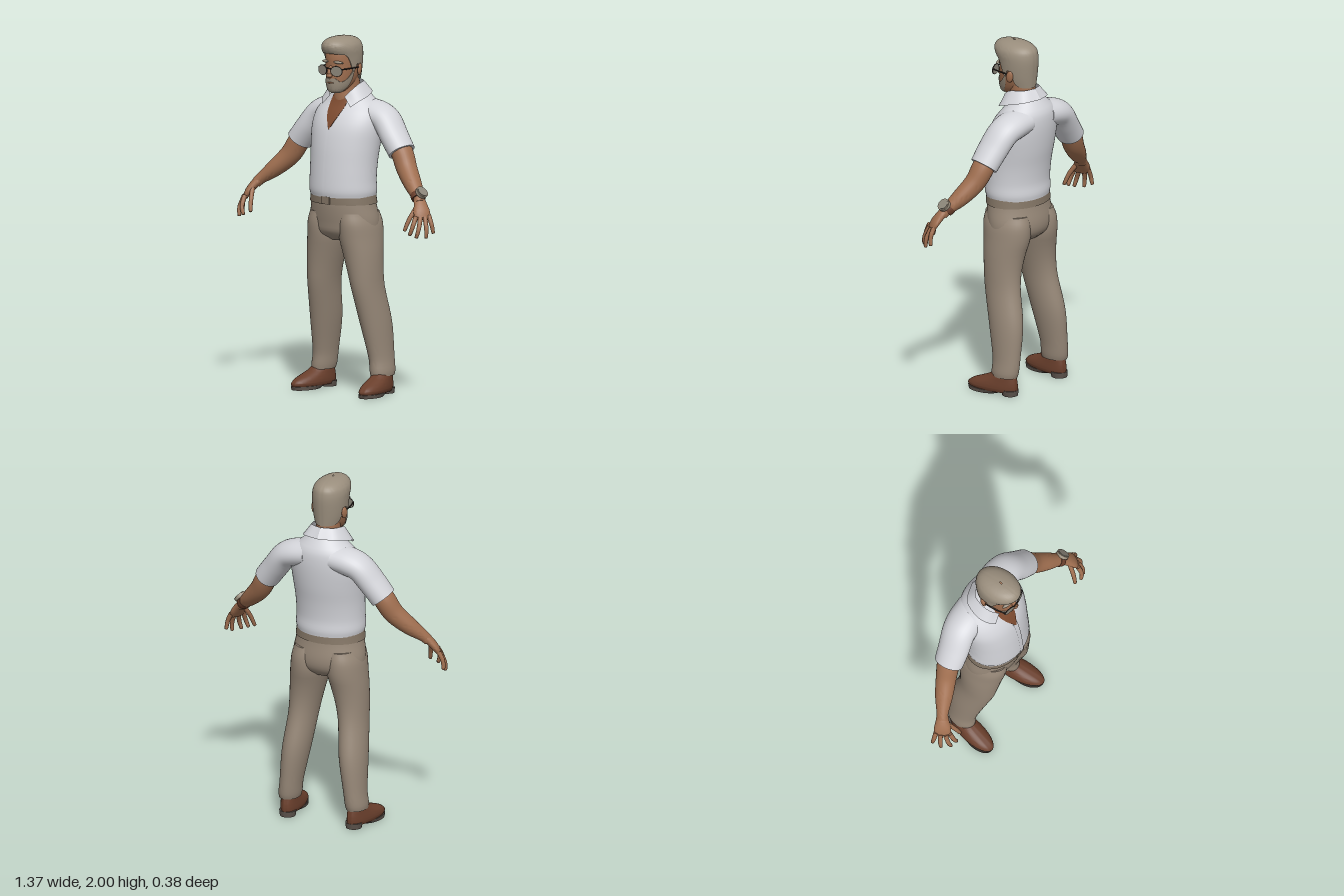
import * as THREE from 'three';
import { toCreasedNormals } from 'three/addons/utils/BufferGeometryUtils.js';

const mat = (name, color, side = THREE.FrontSide) =>
  Object.assign(new THREE.MeshStandardMaterial({ color, side }), { name });

// Smooth interpolation of table rows keyed on their first column
function sample(rows, k) {
  const last = rows.length - 1;
  let i = 0;
  while (i < last - 1 && k > rows[i + 1][0]) i++;
  const slope = (j, c) => {
    const p = rows[Math.max(j - 1, 0)], n = rows[Math.min(j + 1, last)];
    return (n[c] - p[c]) / (n[0] - p[0]);
  };
  const A = rows[i], B = rows[i + 1], h = B[0] - A[0];
  const t = Math.min(1, Math.max(0, (k - A[0]) / h)), t2 = t * t, t3 = t2 * t;
  return A.map((a, c) => a * (2 * t3 - 3 * t2 + 1) + B[c] * (3 * t2 - 2 * t3)
    + h * slope(i, c) * (t3 - 2 * t2 + t) + h * slope(i + 1, c) * (t3 - t2));
}

// Surface through a grid of points f(u, row)
function grid(nu, nv, f) {
  const pos = [], idx = [];
  for (let i = 0; i <= nv; i++) for (let j = 0; j <= nu; j++) pos.push(...f(j / nu, i));
  for (let i = 0; i < nv; i++) for (let j = 0; j < nu; j++) {
    const a = i * (nu + 1) + j, c = a + nu + 1;
    idx.push(a, a + 1, c, a + 1, c + 1, c);
  }
  const g = new THREE.BufferGeometry();
  g.setAttribute('position', new THREE.Float32BufferAttribute(pos, 3));
  g.setIndex(idx);
  return toCreasedNormals(g, 0.9);
}

// Upright body from rows [y, x, halfWidth, zFront, zBack]; angle 0 faces front
function shell(rows, { grow = 0, t0 = 0, t1 = Math.PI * 2, lo = rows[0][0], hi = rows.at(-1)[0], cap = 0, nu = 40, nv = 24, mid = 0.5 } = {}) {
  const at = (v, t) => (typeof v === 'function' ? v(t) : v);
  return grid(nu, nv, (u, i) => {
    const t = t0 + (t1 - t0) * u;
    const v = Math.min(1, Math.max(0, (i - 1) / (nv - 2)));
    const y = at(lo, t) + (at(hi, t) - at(lo, t)) * (0.5 - 0.5 * Math.cos(Math.PI * v));
    const [, x, a, f, b] = sample(rows, y);
    const m = b + (f - b) * mid, s = i === 0 || i === nv ? cap : 1;
    const c = Math.cos(t), depth = (c > 0 ? f - m : m - b) + grow;
    return [x + s * (a + grow) * Math.sin(t), y, m + s * depth * c];
  });
}

// Limb along a path of [x, y, z, radius along ref, radius across]
function limb(points, side, ref = [0, 0, 1], nu = 20, steps = 5) {
  const rows = points.map(([x, y, z, a, b = a], i) => [i, x * side, y, z, a, b]);
  const last = rows.length - 1, n = last * steps;
  const R = new THREE.Vector3(ref[0] * side, ref[1], ref[2]);
  const place = (k) => new THREE.Vector3(...sample(rows, k).slice(1, 4));
  return grid(nu, n + 2, (u, i) => {
    const k = Math.min(last, Math.max(0, (i - 1) / steps));
    const T = place(Math.min(last, k + 0.05)).sub(place(Math.max(0, k - 0.05))).normalize();
    const U = R.clone().addScaledVector(T, -R.dot(T)).normalize();
    const V = T.clone().cross(U), r = sample(rows, k);
    const s = i === 0 || i === n + 2 ? 0 : 1, p = u * Math.PI * 2;
    return place(k).addScaledVector(U, s * r[4] * Math.cos(p)).addScaledVector(V, s * r[5] * Math.sin(p)).toArray();
  });
}

export function createModel() {
  const model = new THREE.Group();
  model.name = 'standingMan';
  const D = THREE.DoubleSide;
  const shirt = mat('shirtWhite', 0xd3d4d9, D), pants = mat('trouserTaupe', 0x978878), belt = mat('beltTaupe', 0x837565);
  const skin = mat('skin', 0xa06f50), tan = mat('tannedChest', 0x7c4a2f, D), hair = mat('greyHair', 0x9a8e7d, D);
  const leather = mat('brownLeather', 0x6a3f2c), sole = mat('soleGrey', 0x5b524b);
  const frame = mat('darkFrame', 0x2c2421), lens = mat('lensGrey', 0x8d877b);
  const add = (name, geometry, material, pos = [0, 0, 0], rot = [0, 0, 0], scale = [1, 1, 1]) => {
    const m = new THREE.Mesh(geometry, material);
    m.name = name;
    m.position.set(...pos); m.rotation.set(...rot); m.scale.set(...scale);
    model.add(m);
    return m;
  };

  // Shirt body, open neck and button band
  const torso = [
    [1.11, 0, 0.194, 0.174, -0.15], [1.14, 0, 0.2, 0.18, -0.154], [1.2, 0, 0.198, 0.178, -0.15],
    [1.3, 0, 0.2, 0.17, -0.16], [1.4, 0, 0.208, 0.158, -0.178], [1.5, 0, 0.215, 0.135, -0.19],
    [1.57, 0, 0.203, 0.1, -0.192], [1.62, 0, 0.17, 0.062, -0.185], [1.66, 0, 0.125, 0.04, -0.16],
    [1.7, 0, 0.09, 0.025, -0.13], [1.72, 0, 0.07, 0.01, -0.115]];
  add('shirtBody', shell(torso, { nu: 56, nv: 36 }), shirt);
  add('openChest', shell(torso, { grow: 0.005, t0: -0.42, t1: 0.42, lo: (t) => 1.485 + 0.42 * Math.abs(t), hi: 1.67, cap: 0.95 }), tan);
  add('buttonBand', shell(torso, { grow: 0.004, t0: -0.07, t1: 0.07, lo: 1.115, hi: 1.5, cap: 0.96, nu: 4 }), shirt);

  // Collar: back to front, upper edge and lower edge
  const collar = [
    [0, 0, 1.745, -0.115, 0, 1.69, -0.156], [1, 0.068, 1.742, -0.085, 0.1, 1.685, -0.12],
    [2, 0.09, 1.733, -0.015, 0.138, 1.665, -0.035], [3, 0.08, 1.705, 0.035, 0.133, 1.645, 0.03],
    [4, 0.05, 1.665, 0.066, 0.1, 1.612, 0.076]];
  for (const s of [1, -1]) {
    add('collar', grid(20, 4, (u, i) => {
      const r = sample(collar, u * 4), w = i / 4;
      return [s * (r[1] + (r[4] - r[1]) * w), r[2] + (r[5] - r[2]) * w, r[3] + (r[6] - r[3]) * w];
    }), shirt);
  }

  // Trousers seat, belt and buckle
  const seat = [
    [0.86, 0, 0.11, 0.08, -0.1], [0.9, 0, 0.195, 0.135, -0.145], [0.96, 0, 0.212, 0.15, -0.16],
    [1.06, 0, 0.197, 0.163, -0.147], [1.125, 0, 0.188, 0.163, -0.14]];
  add('trouserSeat', shell(seat), pants);
  add('belt', shell(seat, { grow: 0.006, lo: 1.07, hi: 1.118, cap: 0.94, nv: 8 }), belt);
  add('beltBuckle', new THREE.BoxGeometry(0.06, 0.042, 0.012), belt, [0, 1.093, 0.169]);

  // Head, neck and face
  const head = [
    [1.685, 0, 0.02, 0.1, 0.05], [1.695, 0, 0.04, 0.116, 0.02], [1.72, 0, 0.06, 0.124, -0.03],
    [1.76, 0, 0.075, 0.128, -0.075], [1.8, 0, 0.083, 0.127, -0.092], [1.84, 0, 0.088, 0.124, -0.1],
    [1.88, 0, 0.09, 0.126, -0.105], [1.92, 0, 0.09, 0.12, -0.105], [1.96, 0, 0.07, 0.1, -0.085], [1.985, 0, 0.03, 0.06, -0.02]];
  add('head', shell(head, { nv: 32 }), skin);
  add('neck', shell([[1.56, 0, 0.08, 0.05, -0.11], [1.65, 0, 0.072, 0.055, -0.1], [1.7, 0, 0.067, 0.05, -0.098], [1.79, 0, 0.066, 0.06, -0.095]]), skin);
  const beardTop = [[0, 1.768], [0.35, 1.772], [0.8, 1.752], [1.2, 1.775], [1.5, 1.83]];
  add('beard', shell(head, { grow: 0.005, t0: -1.5, t1: 1.5, lo: 1.686, hi: (t) => sample(beardTop, Math.abs(t))[1], cap: 0.9 }), hair);
  add('mouth', new THREE.SphereGeometry(1, 16, 8), skin, [0, 1.747, 0.128], [0, 0, 0], [0.024, 0.005, 0.008]);
  add('nose', new THREE.SphereGeometry(1, 16, 12), skin, [0, 1.808, 0.13], [-0.3, 0, 0], [0.015, 0.036, 0.017]);
  add('noseTip', new THREE.SphereGeometry(1, 16, 12), skin, [0, 1.788, 0.139], [0, 0, 0], [0.019, 0.013, 0.015]);

  // Swept hair with a line that drops around the ears
  const hairRows = [
    [1.74, 0, 0.076, 0.11, -0.102], [1.8, 0, 0.091, 0.125, -0.107], [1.86, 0, 0.097, 0.13, -0.112],
    [1.9, 0, 0.099, 0.14, -0.114], [1.93, 0, 0.099, 0.157, -0.112], [1.96, 0, 0.09, 0.16, -0.103],
    [1.985, 0, 0.064, 0.135, -0.07], [1.997, 0, 0.03, 0.09, -0.015], [2, 0, 0.004, 0.05, 0.03]];
  const hairLine = [[0, 1.912], [0.6, 1.908], [1, 1.895], [1.25, 1.83], [1.4, 1.805], [1.6, 1.85], [1.8, 1.82], [2, 1.765], [2.6, 1.75], [Math.PI, 1.748]];
  add('hair', shell(hairRows, { t0: -Math.PI, t1: Math.PI, lo: (t) => sample(hairLine, Math.abs(t))[1], cap: 0.88, nu: 72, nv: 32 }), hair);

  add('glassesBridge', new THREE.BoxGeometry(0.03, 0.006, 0.006), frame, [0, 1.828, 0.143]);
  const shoe = [
    [0.018, 0, 0.056, 0.152, -0.155], [0.035, 0, 0.062, 0.158, -0.16], [0.06, 0, 0.06, 0.128, -0.16],
    [0.08, 0, 0.055, 0.08, -0.157], [0.1, 0, 0.05, 0.03, -0.152], [0.118, 0, 0.045, 0, -0.148]];

  for (const s of [1, -1]) {
    // Ears, brows and glasses
    add('ear', new THREE.SphereGeometry(1, 16, 12), skin, [s * 0.096, 1.815, -0.012], [-0.15, s * 0.3, 0], [0.011, 0.034, 0.021]);
    add('eyebrow', new THREE.SphereGeometry(1, 12, 8), hair, [s * 0.046, 1.862, 0.114], [0, s * 0.35, s * -0.08], [0.03, 0.008, 0.01]);
    add('lens', new THREE.CylinderGeometry(1, 1, 0.006, 28), lens, [s * 0.049, 1.815, 0.134], [Math.PI / 2, 0, -s * 0.22], [0.034, 1, 0.027]);
    add('lensFrame', new THREE.TorusGeometry(0.034, 0.003, 8, 28), frame, [s * 0.049, 1.815, 0.134], [0, s * 0.22, 0], [1, 0.8, 1]);
    add('glassesArm', limb([[0.082, 1.827, 0.126, 0.004], [0.095, 1.828, 0.06, 0.004], [0.1, 1.828, -0.005, 0.004]], s, [0, 1, 0], 8), frame);

    // Sleeve and bare arm
    add('sleeve', limb([
      [0.08, 1.575, -0.085, 0.1, 0.075], [0.17, 1.56, -0.085, 0.1, 0.076], [0.235, 1.53, -0.08, 0.095, 0.073],
      [0.3, 1.45, -0.065, 0.09, 0.072], [0.36, 1.372, -0.055, 0.083, 0.071]], s, [0, 0, 1], 32, 8), shirt);
    add('arm', limb([
      [0.29, 1.46, -0.06, 0.055], [0.36, 1.372, -0.055, 0.064, 0.06], [0.412, 1.285, -0.035, 0.058, 0.058],
      [0.488, 1.207, 0.004, 0.05, 0.048], [0.555, 1.148, 0.042, 0.034, 0.032], [0.58, 1.12, 0.058, 0.032, 0.028]], s, [0, 0, 1], 28, 8), skin);

    // Hand with four fingers and a thumb
    add('palm', limb([
      [0.56, 1.143, 0.045, 0.03, 0.026], [0.588, 1.112, 0.065, 0.038, 0.024],
      [0.612, 1.075, 0.083, 0.048, 0.021], [0.628, 1.04, 0.096, 0.043, 0.014]], s, [0.5, 0.05, -0.8]), skin);
    const fingers = [
      [[0.606, 1.055, 0.128], [0.604, 1.0, 0.155], [0.59, 0.957, 0.162]],
      [[0.624, 1.05, 0.11], [0.634, 0.99, 0.138], [0.627, 0.945, 0.15]],
      [[0.637, 1.05, 0.086], [0.66, 0.99, 0.103], [0.662, 0.943, 0.108]],
      [[0.644, 1.058, 0.062], [0.667, 1.01, 0.065], [0.674, 0.965, 0.06]],
      [[0.58, 1.1, 0.09], [0.56, 1.035, 0.13], [0.546, 0.978, 0.152]]];
    fingers.forEach(([a, b, c], i) => {
      const end = c.map((v, k) => v + (v - b[k]) * 0.12);
      add(i < 4 ? 'finger' : 'thumb', limb([[...a, 0.014], [...b, 0.0125], [...c, 0.01], [...end, 0.005]], s, [0.5, 0.05, -0.8], 10, 4), skin);
    });

    // Trouser leg
    add('trouserLeg', shell([
      [0.105, s * 0.208, 0.057, 0.006, -0.155], [0.13, s * 0.206, 0.061, 0.008, -0.162], [0.2, s * 0.198, 0.061, 0.008, -0.166],
      [0.4, s * 0.176, 0.075, 0.052, -0.165], [0.6, s * 0.154, 0.08, 0.1, -0.125], [0.7, s * 0.142, 0.09, 0.113, -0.12],
      [0.8, s * 0.126, 0.102, 0.126, -0.133], [0.88, s * 0.112, 0.108, 0.138, -0.152], [0.96, s * 0.108, 0.102, 0.146, -0.155],
      [1.02, s * 0.1, 0.09, 0.14, -0.14]], { nv: 36 }), pants);

    // Shoe, sole and heel
    const at = [s * 0.222, 0, 0], turn = [0, s * 0.15, 0];
    add('shoe', shell(shoe, { mid: 0.55 }), leather, at, turn);
    add('shoeSole', shell([[0, 0, 0.057, 0.152, -0.04], [0.02, 0, 0.06, 0.157, -0.08]], { nv: 6 }), sole, at, turn);
    add('shoeHeel', shell([[0, 0, 0.044, -0.07, -0.158], [0.032, 0, 0.048, -0.065, -0.16]], { nv: 6 }), sole, at, turn);
  }

  // Wristwatch on the left wrist
  add('watchStrap', limb([[0.54, 1.163, 0.033, 0.04, 0.038], [0.548, 1.155, 0.038, 0.042, 0.04], [0.562, 1.141, 0.047, 0.04, 0.037]], 1, [0, 0, 1], 28), leather);
  const out = new THREE.Vector3(0.735, 0.68, 0.05).normalize(), wrist = new THREE.Vector3(0.552, 1.152, 0.042);
  for (const [name, r, h, d, m] of [['watchCase', 0.036, 0.018, 0.038, hair], ['watchFace', 0.029, 0.004, 0.048, lens]]) {
    const w = add(name, new THREE.CylinderGeometry(r, r, h, 28), m);
    w.position.copy(wrist).addScaledVector(out, d);
    w.quaternion.setFromUnitVectors(new THREE.Vector3(0, 1, 0), out);
  }
  return model;
}
